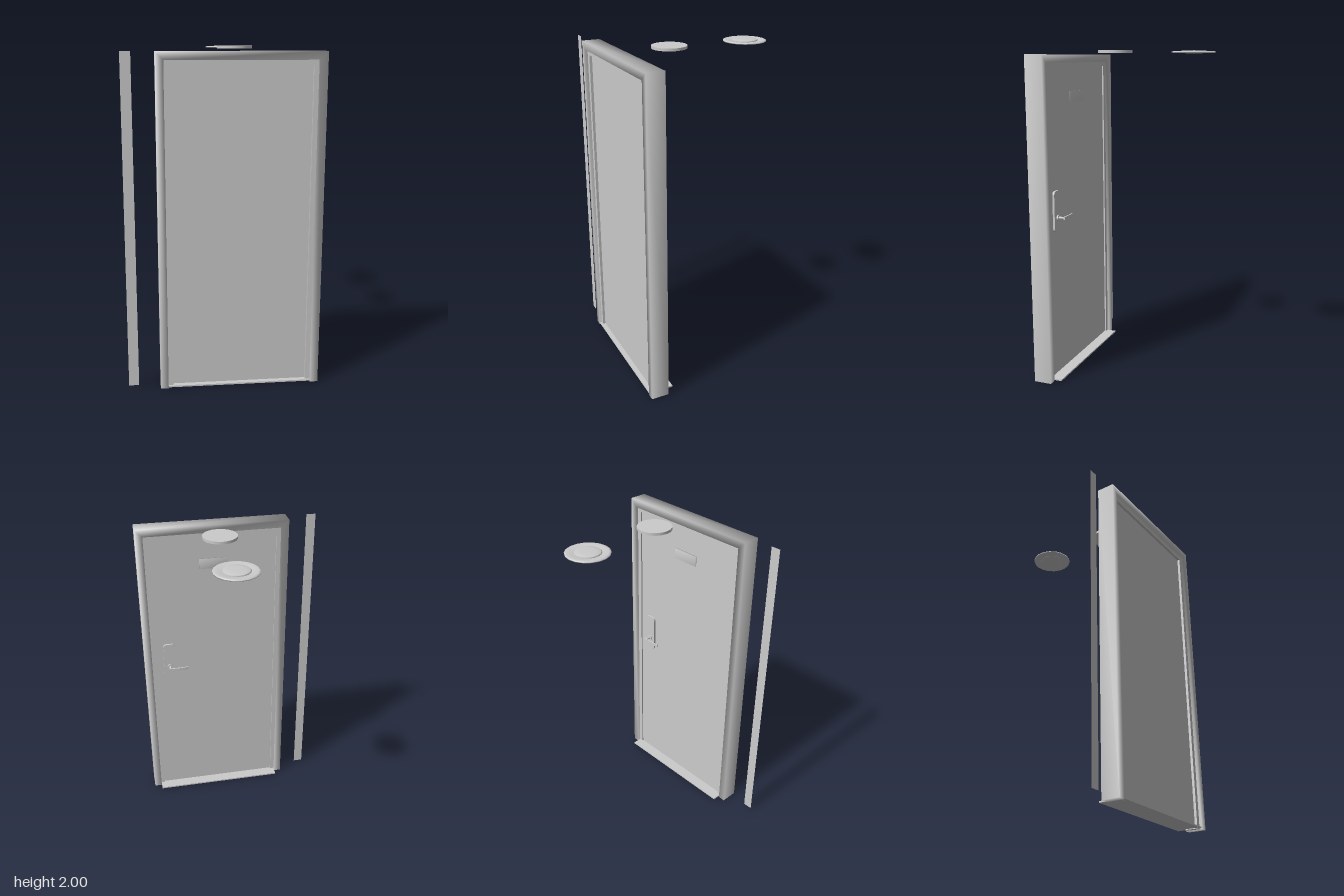
import * as THREE from 'three';
import { mergeVertices } from 'three/addons/utils/BufferGeometryUtils.js';

const material = new THREE.MeshStandardMaterial({ color: 0xcccccc, side: THREE.DoubleSide });

function add(parent, name, geometry, x = 0, y = 0, z = 0) {
  const mesh = new THREE.Mesh(geometry, material);
  mesh.name = name;
  mesh.position.set(x, y, z);
  parent.add(mesh);
  return mesh;
}

// Sweeps a rectangular section up, across and down a door opening with mitred corners
function doorSurround(d0, d1, zBack, zFront, smooth) {
  const L = -0.385, R = 0.57, T = 1.975;
  const section = [[d0, zBack], [d0, zFront], [d1, zFront], [d1, zBack]];
  const corner = [
    (d) => [L + d, 0], (d) => [L + d, T - d], (d) => [R - d, T - d], (d) => [R - d, 0],
  ];
  const pos = [], idx = [];
  for (const at of corner) for (const [d, z] of section) pos.push(...at(d), z);
  for (let i = 0; i < 3; i++) {
    for (let j = 0; j < 4; j++) {
      const a = i * 4 + j, b = i * 4 + (j + 1) % 4;
      idx.push(a, b, a + 4, b, b + 4, a + 4);
    }
  }
  idx.push(0, 2, 1, 0, 3, 2, 12, 13, 14, 12, 14, 15);
  let g = new THREE.BufferGeometry();
  g.setAttribute('position', new THREE.Float32BufferAttribute(pos, 3));
  g.setIndex(idx);
  if (!smooth) g = g.toNonIndexed();
  g.computeVertexNormals();
  return g;
}

function roundedPlate(w, h, r, depth) {
  const s = new THREE.Shape();
  const x = w / 2, y = h / 2;
  s.moveTo(-x + r, -y);
  s.lineTo(x - r, -y);
  s.quadraticCurveTo(x, -y, x, -y + r);
  s.lineTo(x, y - r);
  s.quadraticCurveTo(x, y, x - r, y);
  s.lineTo(-x + r, y);
  s.quadraticCurveTo(-x, y, -x, y - r);
  s.lineTo(-x, -y + r);
  s.quadraticCurveTo(-x, -y, -x + r, -y);
  return new THREE.ExtrudeGeometry(s, { depth, bevelEnabled: false, curveSegments: 5 });
}

// Round fitting with smooth normals
function smoothLathe(points, sides) {
  let g = new THREE.LatheGeometry(points.map(([r, y]) => new THREE.Vector2(r, y)), sides);
  g.deleteAttribute('uv');
  g.deleteAttribute('normal');
  g = mergeVertices(g);
  g.computeVertexNormals();
  return g;
}

export function createModel() {
  const model = new THREE.Group();
  const cx = 0.0925;

  // Frame: softly shaded casing and a set-back door stop
  const frame = new THREE.Group();
  frame.name = 'doorFrame';
  model.add(frame);
  add(frame, 'casing', doorSurround(0, 0.047, 0.378, 0.488, true));
  add(frame, 'doorStop', doorSurround(0.047, 0.075, 0.392, 0.472, false));
  add(frame, 'threshold', new THREE.BoxGeometry(0.857, 0.009, 0.155), cx, 0.009, 0.4075);

  // Door leaf with its sign plate on the back
  add(model, 'doorLeaf', new THREE.BoxGeometry(0.81, 1.89, 0.055), cx, 0.96, 0.4285);
  const sign = add(model, 'signPlate', new THREE.BoxGeometry(0.18, 0.066, 0.008), cx, 1.722, 0.398);
  sign.geometry = mergeVertices(sign.geometry.deleteAttribute('uv').deleteAttribute('normal'));
  sign.geometry.computeVertexNormals();

  // Lever handle
  const handle = new THREE.Group();
  handle.name = 'handle';
  model.add(handle);
  add(handle, 'lockPlate', roundedPlate(0.08, 0.25, 0.025, 0.014), 0.403, 1.05, 0.388);
  const rose = add(handle, 'rose', new THREE.CylinderGeometry(0.018, 0.018, 0.01, 16), 0.403, 1.01, 0.384);
  rose.rotation.x = Math.PI / 2;
  const spindle = add(handle, 'spindle', new THREE.CylinderGeometry(0.006, 0.009, 0.05, 10), 0.403, 1.01, 0.363);
  spindle.rotation.x = -Math.PI / 2;
  const lever = new THREE.Shape();
  lever.moveTo(0.412, 0.336);
  lever.quadraticCurveTo(0.34, 0.333, 0.286, 0.342);
  lever.lineTo(0.286, 0.349);
  lever.quadraticCurveTo(0.34, 0.341, 0.412, 0.346);
  lever.closePath();
  const leverGeometry = new THREE.ExtrudeGeometry(lever, { depth: 0.018, bevelEnabled: false, curveSegments: 6 });
  leverGeometry.rotateX(Math.PI / 2);
  add(handle, 'lever', leverGeometry, 0, 1.019, 0);

  // Free-standing flat strip beside the frame
  add(model, 'sideStrip', new THREE.PlaneGeometry(0.06, 1.965), -0.544, 0.994, 0.45);

  // Overhead fittings
  add(model, 'ceilingDisc', new THREE.CylinderGeometry(0.104, 0.104, 0.016, 20), cx, 1.992, 0.133);
  const lamp = new THREE.Group();
  lamp.name = 'ceilingLamp';
  lamp.position.set(cx, 0, -0.36);
  model.add(lamp);
  add(lamp, 'lampRing', smoothLathe([
    [0.076, 1.986], [0.098, 1.984], [0.128, 1.984], [0.129, 1.99], [0.118, 1.993], [0.1, 1.99], [0.076, 1.988], [0.076, 1.986],
  ], 18));
  add(lamp, 'lampDome', smoothLathe([
    [0, 1.98], [0.05, 1.981], [0.075, 1.984], [0.079, 1.99], [0.073, 1.995], [0.045, 1.997], [0, 1.998],
  ], 18));

  return model;
}
